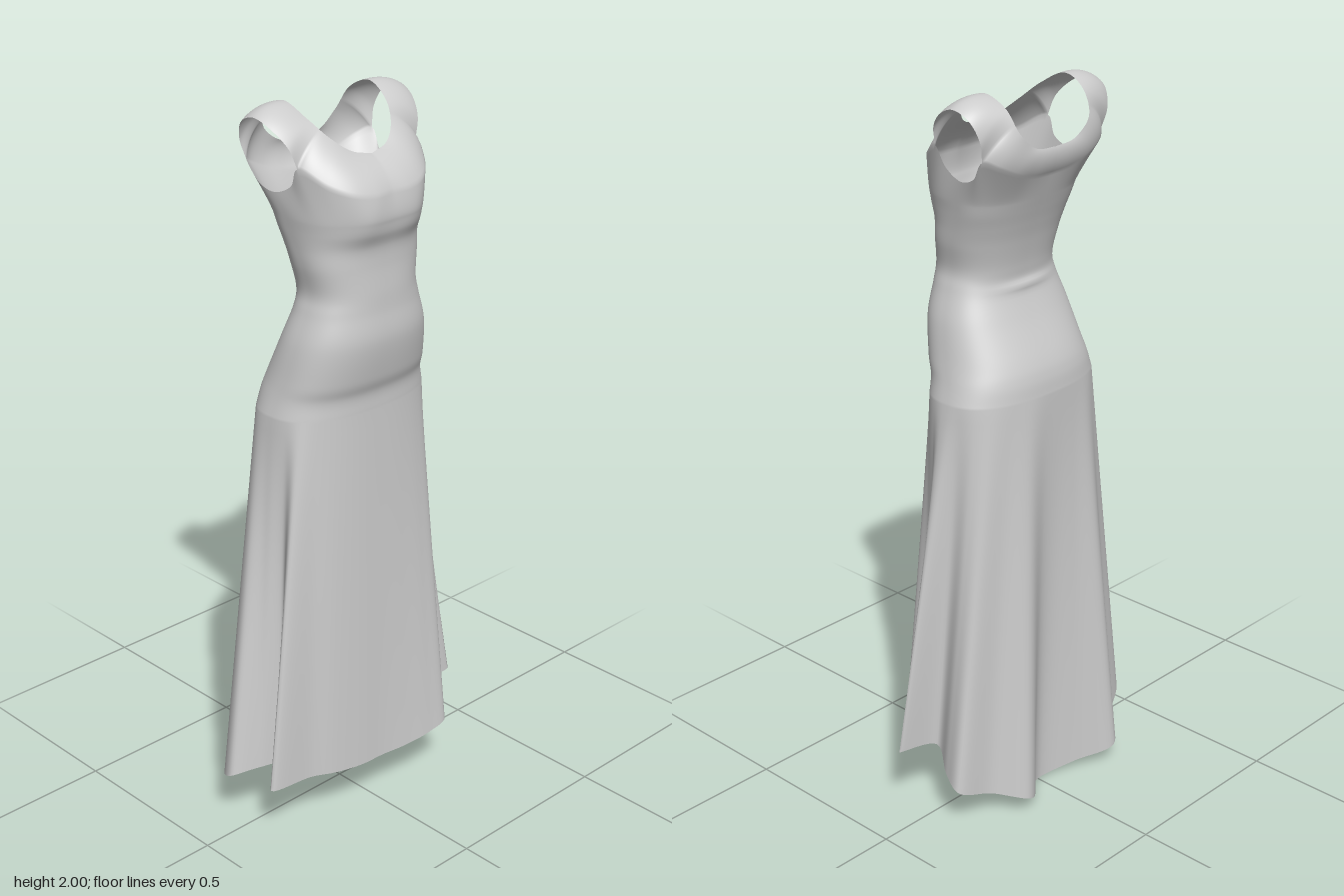
import * as THREE from 'three';
import { mergeGeometries, mergeVertices } from 'three/addons/utils/BufferGeometryUtils.js';

const V = (p) => new THREE.Vector3(...p);
const curve = (pts, closed = false, type = 'centripetal') =>
  new THREE.CatmullRomCurve3(pts.map(V), closed, type);
const gauss = (d, w) => Math.exp(-(d * d) / (w * w));
const COLS = 192, SKIRT = 44, TORSO = 70, CHEST = 14, BAND = 14;

// Cross-sections from hip to bust: y, half width, front z, back z, side z
const sections = [
  [1.2, 0.25, 0.15, -0.145, 0], [1.25, 0.236, 0.152, -0.14, 0.01],
  [1.3, 0.225, 0.168, -0.125, 0.03], [1.4, 0.205, 0.185, -0.08, 0.05],
  [1.48, 0.178, 0.18, -0.052, 0.06], [1.53, 0.166, 0.178, -0.053, 0.06],
  [1.6, 0.177, 0.174, -0.068, 0.05], [1.65, 0.183, 0.177, -0.083, 0.03],
  [1.69, 0.189, 0.193, -0.097, 0.012], [1.72, 0.194, 0.2, -0.108, 0.005],
];
const widths = curve(sections.map((s) => [s[0], s[1], s[4]]), false, 'catmullrom');
const depths = curve(sections.map((s) => [s[0], s[2], s[3]]), false, 'catmullrom');

// Hem folds, one point every 15 degrees, from front centre towards +x
const hem = curve([
  [0, 0.15, 0.175], [0.08, 0.15, 0.185], [0.17, 0.16, 0.195], [0.235, 0.175, 0.19],
  [0.238, 0.19, 0.11], [0.275, 0.2, 0.055], [0.4, 0.21, 0.045], [0.29, 0.2, 0.01],
  [0.325, 0.15, -0.06], [0.335, 0.12, -0.115], [0.23, 0.08, -0.14], [0.135, 0.045, -0.2],
  [0, 0, -0.1], [-0.11, 0.025, -0.14], [-0.22, 0.055, -0.195], [-0.29, 0.09, -0.12],
  [-0.37, 0.14, -0.075], [-0.4, 0.175, -0.01], [-0.33, 0.19, 0.03], [-0.275, 0.19, 0.055],
  [-0.375, 0.18, 0.125], [-0.24, 0.17, 0.14], [-0.17, 0.16, 0.158], [-0.08, 0.15, 0.17],
], true);

// Top edge of the chest and underarm, front to back on +x, every 15 degrees
const chestTop = curve([
  [0, 1.79, 0.189], [0.06, 1.79, 0.192], [0.12, 1.8, 0.176], [0.168, 1.822, 0.135],
  [0.205, 1.86, 0.066], [0.2, 1.81, 0.037], [0.205, 1.785, -0.02], [0.21, 1.8, -0.068],
  [0.217, 1.85, -0.105], [0.185, 1.835, -0.13], [0.13, 1.81, -0.14],
  [0.065, 1.79, -0.135], [0, 1.785, -0.132],
]);
// Upper edge of the armhole, over the shoulder
const armhole = curve([
  [0.205, 1.86, 0.066], [0.222, 1.91, 0.055], [0.242, 1.955, 0.012], [0.25, 1.975, -0.04],
  [0.246, 1.955, -0.09], [0.232, 1.905, -0.113], [0.217, 1.85, -0.105],
]);
// Neckline, front centre to back centre
const neckline = curve([
  [0, 1.87, 0.115], [0.06, 1.885, 0.105], [0.105, 1.92, 0.075], [0.135, 1.965, 0.025],
  [0.145, 1.998, -0.045], [0.14, 1.97, -0.11], [0.125, 1.91, -0.145],
  [0.07, 1.865, -0.148], [0, 1.857, -0.148],
]);

// Rounded body section; u runs round the body, t from hip to bust
function section(u, t) {
  const s = Math.sin(u * 2 * Math.PI), c = Math.cos(u * 2 * Math.PI);
  const w = widths.getPoint(t), d = depths.getPoint(t);
  const round = (k) => Math.sign(k) * Math.abs(k) ** 0.82;
  const x = w.y * round(s);
  let z = w.z + (c > 0 ? d.y - w.z : w.z - d.z) * round(c);
  if (c > 0) z += 0.008 * c * gauss(w.x - 1.72, 0.05) * (gauss(Math.abs(x) - 0.09, 0.05) - 0.5);
  else z += 0.007 * c * gauss(w.x - 1.48, 0.01) * gauss(x, 0.09); // waist seam
  return new THREE.Vector3(x, w.x, z);
}

function chestEdge(u) {
  const p = chestTop.getPoint(u <= 0.5 ? 2 * u : 2 - 2 * u);
  if (u > 0.5) p.x *= -1;
  return p;
}

function bodyPoint(u, row) {
  if (row <= SKIRT) {
    const t = 1 - row / SKIRT; // skirt flares into the folded hem
    return section(u, 0).lerp(hem.getPoint(u), 1.6 * t - 0.6 * t * t);
  }
  if (row <= SKIRT + TORSO) return section(u, (row - SKIRT) / TORSO);
  const k = (row - SKIRT - TORSO) / CHEST; // chest bends on to its top edge
  const a = section(u, 1), b = section(u, 1).multiplyScalar(2).sub(section(u, 0.92));
  const end = chestEdge(u);
  return a.multiplyScalar((1 - k) ** 2).addScaledVector(b, 2 * k * (1 - k)).addScaledVector(end, k * k);
}

// Yoke between chest, armhole and neckline; column i from front to back
const FRONT = COLS / 6, ARM = 48, YOKE = 2 * FRONT + ARM;
function yokePoint(i, row, side) {
  let outer, n;
  if (i <= FRONT) {
    outer = chestEdge(i / COLS);
    n = 0.3 * i / FRONT;
  } else if (i < FRONT + ARM) {
    const k = (i - FRONT) / ARM;
    outer = armhole.getPoint(k);
    n = 0.3 + 0.4 * k;
  } else {
    const k = (i - FRONT - ARM) / FRONT;
    outer = chestEdge((i - ARM + FRONT) / COLS);
    n = 0.7 + 0.3 * k;
  }
  const k = row / BAND;
  const p = outer.lerp(neckline.getPoint(n), k);
  const out = p.clone().sub(V([0, 1.76, -0.02])).normalize();
  p.addScaledVector(out, 0.044 * k * (1 - k));
  p.x *= side;
  return p;
}

// Grid of points, triangulated row by row
function grid(cols, rows, point, flip = false) {
  const pos = [], index = [];
  for (let j = 0; j <= rows; j++)
    for (let i = 0; i <= cols; i++) pos.push(...point(i, j).toArray());
  for (let j = 0; j < rows; j++)
    for (let i = 0; i < cols; i++) {
      const a = j * (cols + 1) + i, b = a + 1, c = a + cols + 1, d = c + 1;
      index.push(...(flip ? [a, d, b, a, c, d] : [a, b, d, a, d, c]));
    }
  const g = new THREE.BufferGeometry();
  g.setAttribute('position', new THREE.Float32BufferAttribute(pos, 3));
  return g.setIndex(index);
}

export function createModel() {
  const body = grid(COLS, SKIRT + TORSO + CHEST, (i, j) => bodyPoint(i / COLS, j));
  const yokes = [1, -1].map((s) => grid(YOKE, BAND, (i, j) => yokePoint(i, j, s), s < 0));

  // Weld everything so the shading runs smoothly across the joins
  const welded = mergeVertices(mergeGeometries([body, ...yokes]), 1e-4);
  welded.computeVertexNormals();

  const material = new THREE.MeshStandardMaterial({
    color: 0xcccccc, roughness: 0.8, side: THREE.DoubleSide,
  });
  const group = new THREE.Group();
  group.name = 'dress';
  const all = welded.index.array, perRow = COLS * 6, perYoke = YOKE * BAND * 6;
  let start = 0;
  const parts = [
    ['skirt', SKIRT * perRow], ['bodice', (TORSO + CHEST) * perRow],
    ['leftShoulder', perYoke], ['rightShoulder', perYoke],
  ];
  for (const [name, count] of parts) {
    const g = new THREE.BufferGeometry();
    g.setAttribute('position', welded.getAttribute('position'));
    g.setAttribute('normal', welded.getAttribute('normal'));
    g.setIndex(Array.from(all.slice(start, start + count)));
    start += count;
    const mesh = new THREE.Mesh(g, material);
    mesh.name = name;
    group.add(mesh);
  }
  return group;
}
